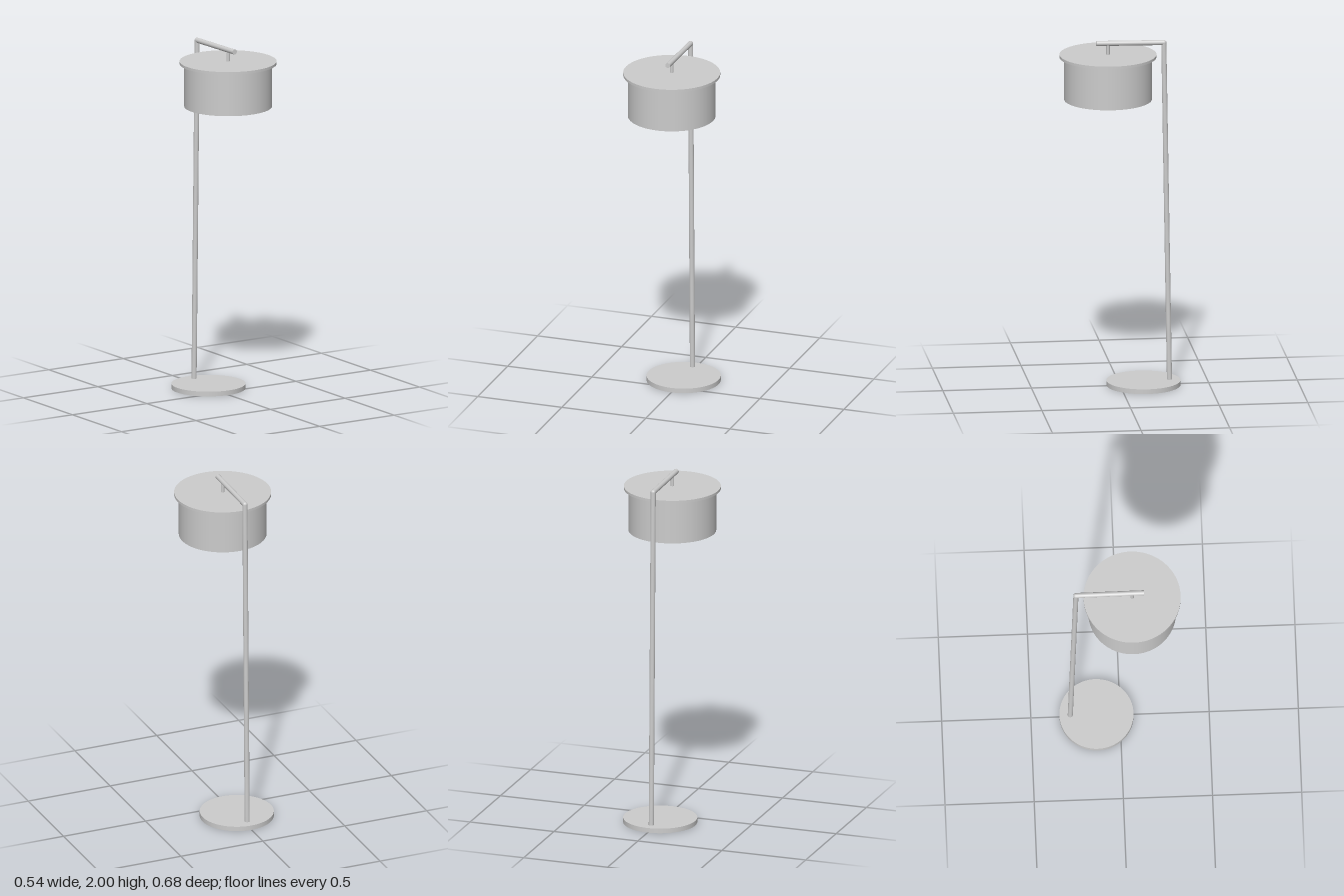
import * as THREE from 'three';

const material = new THREE.MeshStandardMaterial({ color: 0xcccccc });
const openMaterial = new THREE.MeshStandardMaterial({ color: 0xcccccc, side: THREE.DoubleSide });

export function createModel() {
  const group = new THREE.Group();

  function add(name, geometry, x, y, z, mat = material) {
    const mesh = new THREE.Mesh(geometry, mat);
    mesh.name = name;
    mesh.position.set(x, y, z);
    group.add(mesh);
    return mesh;
  }

  // Upright disc standing between two heights
  function disc(name, radius, bottom, top, z, segments = 96) {
    return add(name, new THREE.CylinderGeometry(radius, radius, top - bottom, segments), 0, (top + bottom) / 2, z);
  }

  // Straight round rod between two points
  function rod(name, radius, from, to) {
    const dir = to.clone().sub(from);
    const mid = from.clone().add(to).multiplyScalar(0.5);
    const mesh = add(name, new THREE.CylinderGeometry(radius, radius, dir.length(), 32), mid.x, mid.y, mid.z);
    mesh.quaternion.setFromUnitVectors(new THREE.Vector3(0, 1, 0), dir.normalize());
  }

  const shadeZ = 0.068;
  const tube = 0.0145;
  const foot = new THREE.Vector3(0, 0.015, -0.279);
  const elbow = new THREE.Vector3(0, 1.979, -0.247);
  const armTip = new THREE.Vector3(0, 1.985, 0.135);

  disc('base', 0.208, 0, 0.027, -0.132);

  // Leaning pole, elbow and arm square to it
  rod('pole', tube, foot, elbow);
  add('elbow', new THREE.SphereGeometry(tube, 32, 16), elbow.x, elbow.y, elbow.z);
  rod('arm', tube, elbow, armTip);

  // Lamp head hung from the arm
  disc('hanger', 0.01, 1.915, 1.98, shadeZ, 24);
  disc('shadeLid', 0.272, 1.905, 1.92, shadeZ);

  // Thin-walled drum, open at the bottom
  const wall = [[0.241, 1.908], [0.241, 1.66], [0.241, 1.66], [0.246, 1.66], [0.246, 1.66], [0.246, 1.908]];
  const profile = wall.map(([r, y]) => new THREE.Vector2(r, y));
  // Separate surfaces keep the rim edges sharp
  for (const [i, name] of ['shadeInside', 'shadeRim', 'shadeOutside'].entries()) {
    add(name, new THREE.LatheGeometry(profile.slice(i * 2, i * 2 + 2), 96), 0, 0, shadeZ, openMaterial);
  }

  return group;
}
